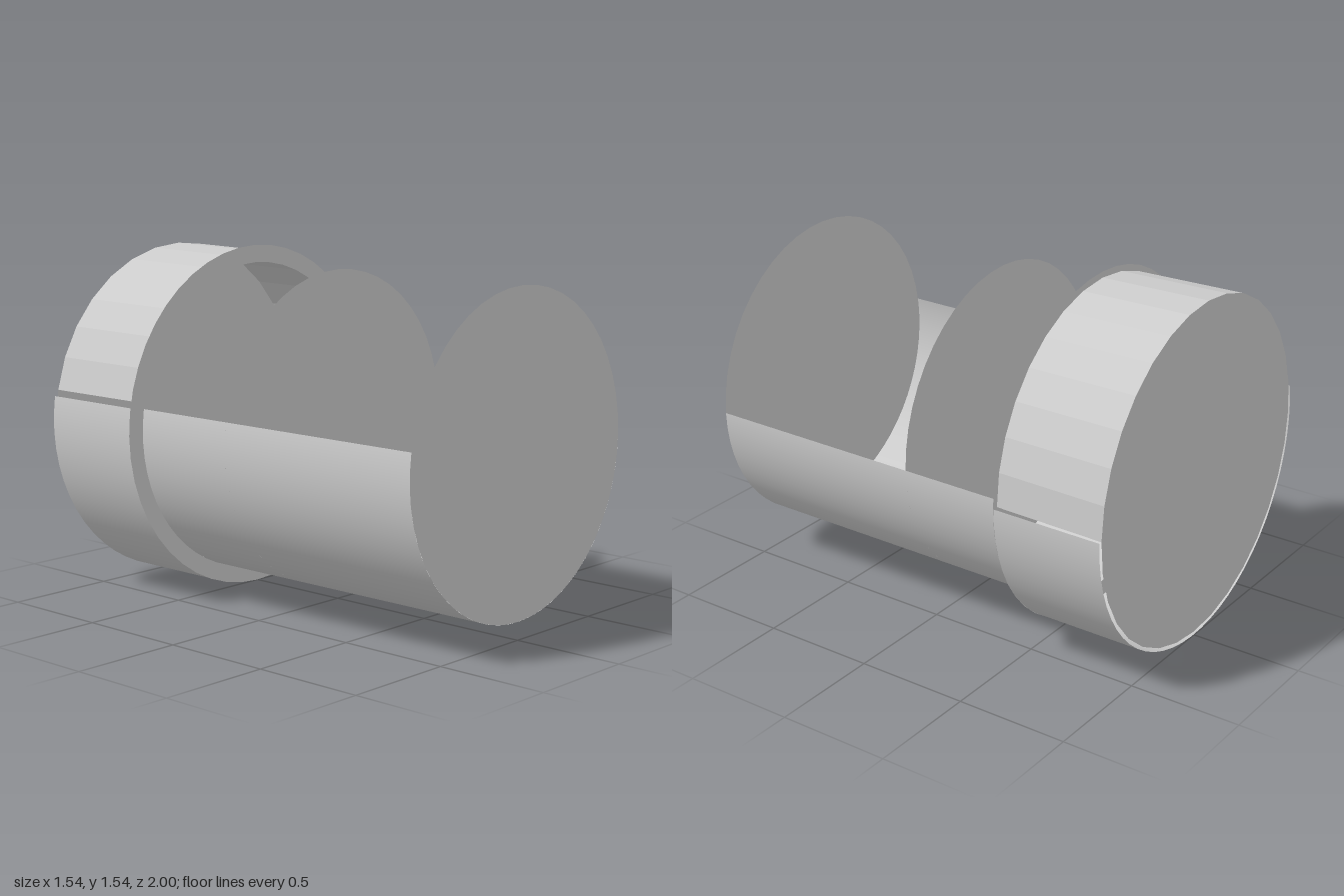
import * as THREE from 'three';

const CENTRE_Y = 0.77;
const SIDES = 32;

export function createModel() {
  const group = new THREE.Group();
  const smooth = new THREE.MeshStandardMaterial({ color: 0xcccccc, side: THREE.DoubleSide });
  const faceted = smooth.clone();
  faceted.flatShading = true;

  const add = (name, geometry, z, material = smooth) => {
    const mesh = new THREE.Mesh(geometry, material);
    mesh.name = name;
    mesh.position.set(0, CENTRE_Y, z);
    group.add(mesh);
  };

  // Open curved sheet along z; start and sweep run counterclockwise from +x
  const shell = (frontR, backR, length, start, sweep, segments) =>
    new THREE.CylinderGeometry(frontR, backR, length, segments, 1, true, start + Math.PI / 2, sweep)
      .rotateX(Math.PI / 2);

  // Lower troughs: a little more than half a turn, reaching higher on the -x side
  const sweep = 3.3;
  add('bodyTrough', shell(0.694, 0.694, 1.5, -sweep, sweep, SIDES), 0.25);
  add('collarTrough', shell(0.77, 0.77, 0.5, -sweep, sweep, SIDES), -0.75);

  // Faceted hood over the collar, slightly wider at the back
  const step = (Math.PI * 2) / SIDES;
  add('collarHood', shell(0.745, 0.755, 0.5, 0, step * 15, 15), -0.75, faceted);

  // Thin full discs: front end, middle divider and back end
  add('frontDisc', new THREE.CircleGeometry(0.694, 48), 1);
  add('middleDisc', new THREE.CircleGeometry(0.694, 48), 0);
  add('backDisc', new THREE.CircleGeometry(0.755, SIDES), -1);

  // Flat ring where the body meets the collar
  add('collarRing', new THREE.RingGeometry(0.694, 0.772, 48), -0.5);

  return group;
}
